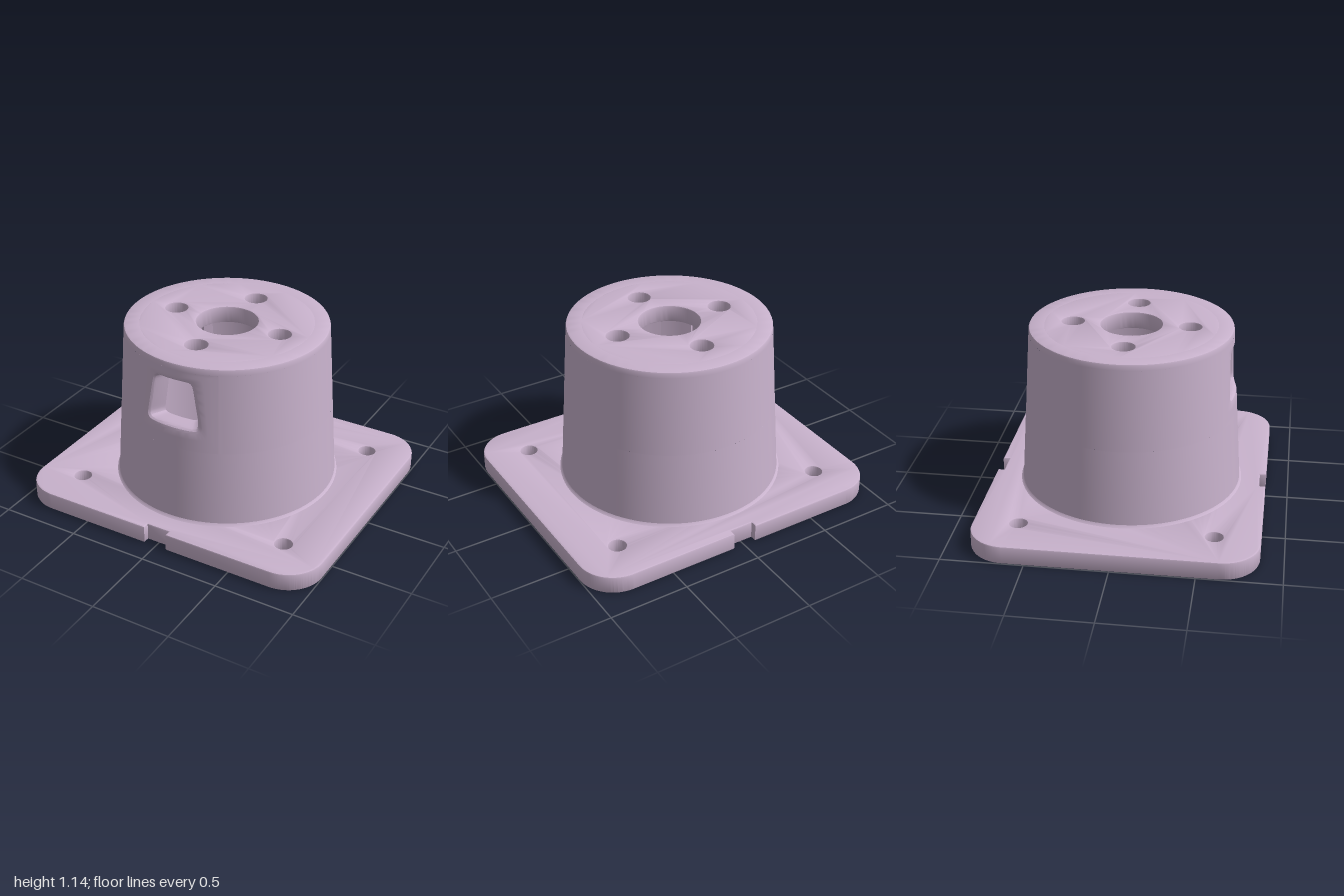
import * as THREE from 'three';
import { toCreasedNormals } from 'three/addons/utils/BufferGeometryUtils.js';

const lerp = THREE.MathUtils.lerp;
const BEVEL = 0.01, PLATE_H = 0.115, TOP = 1.14, CEILING = 1.03;
const PANEL = { angle: 0.45, low: 0.6, high: 1.1 }; // wall patch holding the window

// Radii of the tapered wall at height y
const outerR = (y) => 0.69 - 0.064 * (y - 0.12);
const innerR = (y) => 0.585 - 0.06 * y;

const material = new THREE.MeshStandardMaterial({ color: 0xc8b2cc });

function part(name, geometry) {
  const mesh = new THREE.Mesh(toCreasedNormals(geometry, 0.5), material);
  mesh.name = name;
  return mesh;
}

function lathe(name, points, gap = 0) {
  const profile = points.map(([r, y]) => new THREE.Vector2(r, y));
  return part(name, new THREE.LatheGeometry(profile, 96, gap, Math.PI * 2 - 2 * gap));
}

// Horizontal slab with chamfered edges
function slab(name, shape, y0, height) {
  const g = new THREE.ExtrudeGeometry(shape, {
    depth: height - 2 * BEVEL, bevelSize: BEVEL, bevelThickness: BEVEL,
    bevelOffset: -BEVEL, bevelSegments: 2, curveSegments: 40,
  });
  g.rotateX(-Math.PI / 2).translate(0, y0 + BEVEL, 0);
  return part(name, g);
}

function addHole(shape, x, y, r) {
  shape.holes.push(new THREE.Path().absarc(x, y, r, 0, Math.PI * 2, true));
}

// Rounded mounting plate with a notch at front and back
function plateShape() {
  const X = 1, Z = 0.86, r = 0.23, n = 0.075, d = 0.04;
  const s = new THREE.Shape();
  s.moveTo(-X + r, -Z);
  s.lineTo(-n, -Z).lineTo(-n, -Z + d).lineTo(n, -Z + d).lineTo(n, -Z).lineTo(X - r, -Z);
  s.absarc(X - r, -Z + r, r, -Math.PI / 2, 0, false);
  s.absarc(X - r, Z - r, r, 0, Math.PI / 2, false);
  s.lineTo(n, Z).lineTo(n, Z - d).lineTo(-n, Z - d).lineTo(-n, Z).lineTo(-X + r, Z);
  s.absarc(-X + r, Z - r, r, Math.PI / 2, Math.PI, false);
  s.absarc(-X + r, -Z + r, r, Math.PI, Math.PI * 1.5, false);
  addHole(s, 0, 0, 0.58);
  for (const x of [-0.72, 0.72]) for (const z of [-0.585, 0.585]) addHole(s, x, z, 0.053);
  return s;
}

function topShape() {
  const s = new THREE.Shape().absarc(0, 0, 0.54, 0, Math.PI * 2, false);
  addHole(s, 0, 0, 0.188);
  for (let i = 0; i < 4; i++) {
    const a = (i * Math.PI) / 2;
    addHole(s, 0.36 * Math.cos(a), 0.36 * Math.sin(a), 0.069);
  }
  return s;
}

// Loop of [angle, height, depth] round a symmetric four-sided outline; depth 0 = inner wall, 1 = outer
function loop(bottomHalf, topHalf, low, high, depth, rounding = 0) {
  const n = 16;
  const corners = [[-bottomHalf, low], [bottomHalf, low], [topHalf, high], [-topHalf, high]];
  let pts = [];
  corners.forEach((c, k) => {
    const e = corners[(k + 1) % 4];
    for (let i = 0; i < n; i++) pts.push([lerp(c[0], e[0], i / n), lerp(c[1], e[1], i / n), depth]);
  });
  for (let k = 0; k < rounding; k++) {
    pts = pts.map((p, i) => {
      const a = pts[(i + pts.length - 1) % pts.length], b = pts[(i + 1) % pts.length];
      return p.map((v, c) => (a[c] + 2 * v + b[c]) / 4);
    });
  }
  return pts;
}

// Wall patch: inner face, tapered window reveal, soft lip, outer face
function windowPanel() {
  const { angle, low, high } = PANEL;
  const keys = [
    loop(angle, angle, low, CEILING, 0),
    loop(0.225, 0.16, 0.74, 1.028, 0, 3),
    loop(0.265, 0.19, 0.74, 1.028, 0.72, 3),
    loop(0.275, 0.198, 0.736, 1.032, 0.88, 4),
    loop(0.292, 0.212, 0.727, 1.041, 0.97, 5),
    loop(0.315, 0.235, 0.712, 1.054, 1, 6),
    loop(angle, angle, low, high, 1),
  ];
  const steps = 3, count = keys[0].length, pos = [], index = [];
  const total = (keys.length - 1) * steps;
  for (let i = 0; i <= total; i++) {
    const k = Math.min(Math.floor(i / steps), keys.length - 2), t = i / steps - k;
    for (let j = 0; j < count; j++) {
      const [phi, y, d] = keys[k][j].map((v, c) => lerp(v, keys[k + 1][j][c], t));
      const r = lerp(innerR(y), outerR(y), d);
      pos.push(r * Math.sin(phi), y, r * Math.cos(phi));
      if (i < total) {
        const a = i * count + j, b = i * count + ((j + 1) % count);
        index.push(a, a + count, b, b, a + count, b + count);
      }
    }
  }
  const g = new THREE.BufferGeometry();
  g.setAttribute('position', new THREE.Float32BufferAttribute(pos, 3));
  g.setIndex(index);
  return part('windowPanel', g);
}

export function createModel() {
  const group = new THREE.Group();
  group.name = 'flangedHousing';
  const { angle, low, high } = PANEL;
  const out = (y) => [outerR(y), y], inn = (y) => [innerR(y), y];

  group.add(slab('mountingPlate', plateShape(), 0, PLATE_H));
  group.add(slab('topDisc', topShape(), CEILING, TOP - CEILING));

  // Outer wall with small foot fillet and chamfered top rim
  group.add(lathe('lowerOuterWall', [[0.708, PLATE_H - 0.003], [0.697, 0.119], [0.69, 0.13], out(low)]));
  group.add(lathe('upperOuterWall', [out(low), out(high)], angle));
  group.add(lathe('topRim', [out(high), out(1.128), [0.622, 1.136], [0.614, TOP], [0.529, TOP]]));

  // Bore
  group.add(lathe('upperBore', [inn(CEILING), inn(low)], angle));
  group.add(lathe('lowerBore', [inn(low), inn(0.1)]));
  group.add(windowPanel());

  // Slim ribs inside the bore, on the diagonals
  for (let i = 0; i < 4; i++) {
    const rib = part('innerRib', new THREE.BoxGeometry(0.06, CEILING - 0.5, 0.08));
    const a = Math.PI / 4 + (i * Math.PI) / 2;
    rib.position.set(0.52 * Math.sin(a), (CEILING + 0.5) / 2, 0.52 * Math.cos(a));
    rib.rotation.y = a;
    group.add(rib);
  }
  return group;
}
